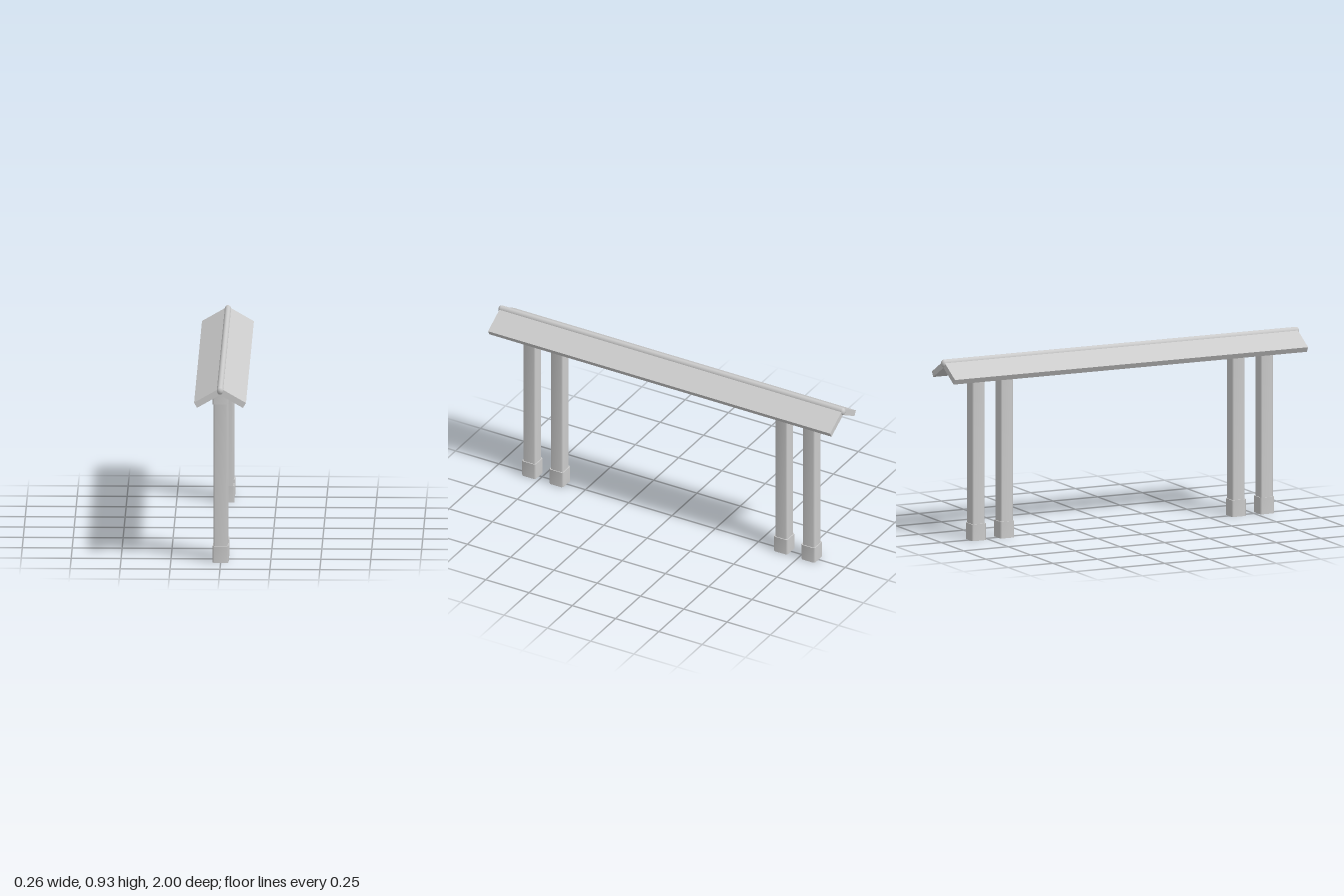
import * as THREE from 'three';

const material = new THREE.MeshStandardMaterial({ color: 0xcccccc, side: THREE.DoubleSide });

// Outline of a square with small cut corners, counter-clockwise
function cutSquare(half, cut) {
  const a = half, b = half - cut;
  return [[a, -b], [a, b], [b, a], [-b, a], [-a, b], [-a, -b], [-b, -a], [b, -a]];
}

// Open sleeve lofted between [half width, y] rings, smooth around the corners
function sleeve(rings) {
  const positions = [], index = [];
  rings.forEach(([half, y]) => {
    cutSquare(half, half * 0.2).forEach(([x, z]) => positions.push(x, y, z));
  });
  for (let r = 0; r < rings.length - 1; r++) {
    for (let i = 0; i < 8; i++) {
      const a = r * 8 + i, b = r * 8 + (i + 1) % 8;
      index.push(a, a + 8, b, b, a + 8, b + 8);
    }
  }
  const g = new THREE.BufferGeometry();
  g.setAttribute('position', new THREE.Float32BufferAttribute(positions, 3));
  g.setIndex(index);
  g.computeVertexNormals();
  return g;
}

function addMesh(parent, name, geometry) {
  const mesh = new THREE.Mesh(geometry, material);
  mesh.name = name;
  parent.add(mesh);
  return mesh;
}

export function createModel() {
  const model = new THREE.Group();
  model.name = 'roofedBeamOnPosts';

  // Two pairs of posts, each with a wider base and head
  const base = sleeve([[0.04, 0], [0.04, 0.085]]);
  const baseLedge = sleeve([[0.04, 0.085], [0.035, 0.085]]);
  const shaft = sleeve([[0.035, 0.085], [0.035, 0.81]]);
  const headLedge = sleeve([[0.035, 0.81], [0.04, 0.81]]);
  const head = sleeve([[0.04, 0.81], [0.04, 0.893]]);
  for (const z of [0.807, 0.648, -0.648, -0.807]) {
    const post = new THREE.Group();
    post.name = 'post';
    post.position.z = z;
    addMesh(post, 'postBase', base);
    addMesh(post, 'baseLedge', baseLedge);
    addMesh(post, 'postShaft', shaft);
    addMesh(post, 'headLedge', headLedge);
    addMesh(post, 'postHead', head);
    model.add(post);
  }

  // Gabled roof: two sloping boards meeting at the ridge
  const section = new THREE.Shape([
    [0, 0.924], [-0.13, 0.849], [-0.115, 0.823], [0, 0.889], [0.115, 0.823], [0.13, 0.849],
  ].map(([x, y]) => new THREE.Vector2(x, y)));
  const roof = new THREE.ExtrudeGeometry(section, { depth: 1.976, bevelEnabled: false });
  roof.translate(0, 0, -0.988);
  addMesh(model, 'roofBoards', roof);

  // Ridge pole with shallow domed ends
  const profile = [];
  for (let i = 0; i <= 5; i++) {
    const t = (i / 5) * Math.PI / 2;
    profile.push(new THREE.Vector2(0.0165 * Math.sin(t), -0.985 - 0.015 * Math.cos(t)));
  }
  for (let i = 5; i >= 0; i--) profile.push(new THREE.Vector2(profile[i].x, -profile[i].y));
  const ridge = new THREE.LatheGeometry(profile, 16);
  ridge.rotateX(Math.PI / 2);
  ridge.scale(1, 1.24, 1);
  ridge.translate(0, 0.911, 0);
  addMesh(model, 'ridgePole', ridge);

  return model;
}
